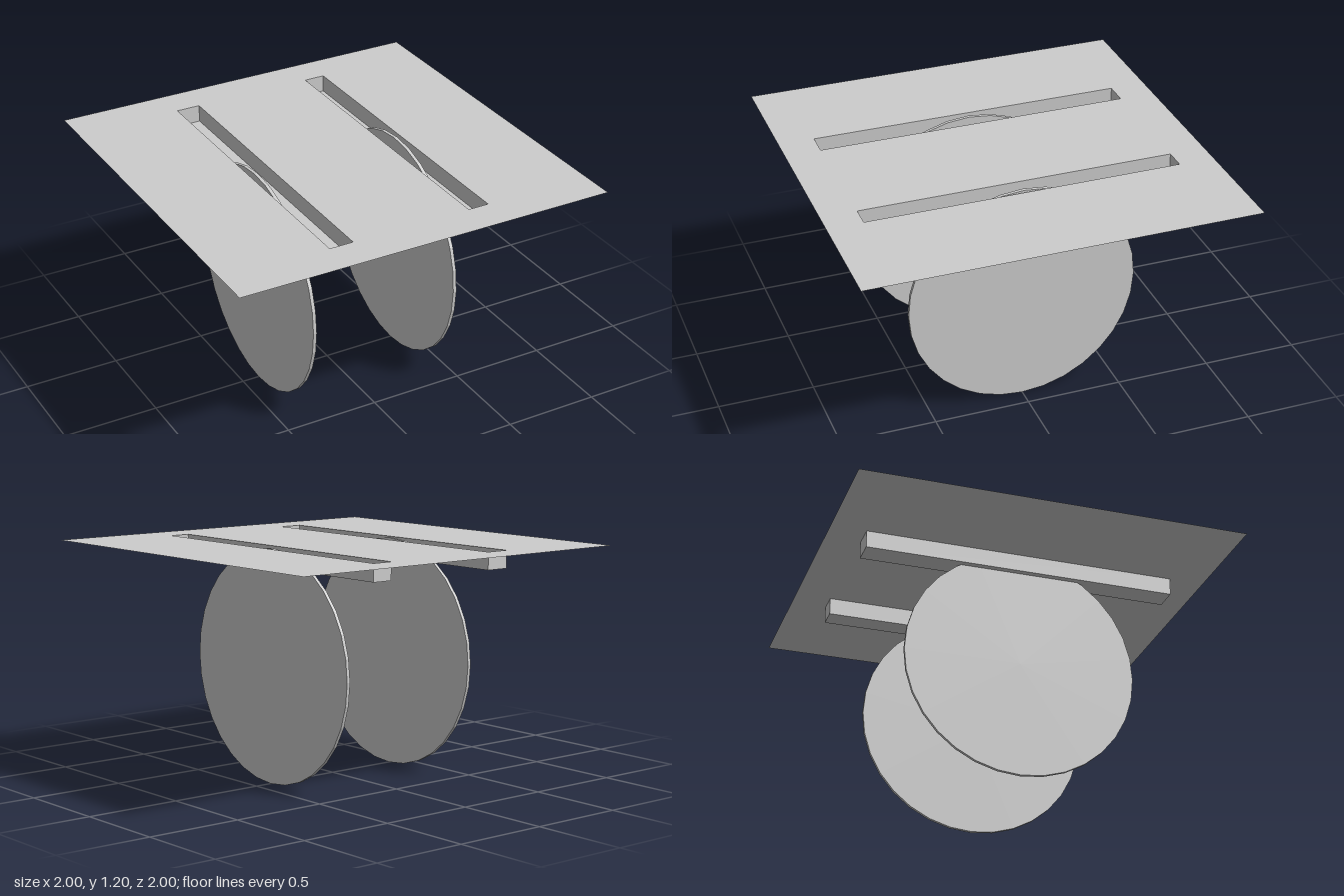
import * as THREE from 'three';

const TOP = 1.2, DEPTH = 0.09, HALF_SLOT = 0.815;
// Slot edges in x, and the centre of the disc standing in each slot
const SLOTS = [
  { side: 'right', x0: -0.44, x1: -0.315, disc: -0.4 },
  { side: 'left', x0: 0.32, x1: 0.43, disc: 0.4 },
];

function rectangle(Type, x0, x1, halfDepth) {
  return new Type([
    new THREE.Vector2(x0, -halfDepth), new THREE.Vector2(x1, -halfDepth),
    new THREE.Vector2(x1, halfDepth), new THREE.Vector2(x0, halfDepth),
  ]);
}

// Box without its top face
function openTray(width, height, depth) {
  const geometry = new THREE.BoxGeometry(width, height, depth);
  const index = Array.from(geometry.index.array);
  index.splice(12, 6);
  geometry.setIndex(index);
  geometry.clearGroups();
  return geometry;
}

export function createModel() {
  const group = new THREE.Group();
  const grey = new THREE.MeshStandardMaterial({ color: 0xcccccc, side: THREE.DoubleSide, flatShading: true });
  grey.name = 'light grey';

  const add = (name, geometry, x, y) => {
    const mesh = new THREE.Mesh(geometry, grey);
    mesh.name = name;
    mesh.position.set(x, y, 0);
    group.add(mesh);
  };

  // Thin top sheet with two slots
  const outline = rectangle(THREE.Shape, -1, 1, 1);
  for (const s of SLOTS) outline.holes.push(rectangle(THREE.Path, s.x0, s.x1, HALF_SLOT));
  add('topSheet', new THREE.ShapeGeometry(outline).rotateX(-Math.PI / 2), 0, TOP);

  for (const s of SLOTS) {
    // Recessed tray below each slot
    add(`${s.side}Tray`, openTray(s.x1 - s.x0, DEPTH, HALF_SLOT * 2), (s.x0 + s.x1) / 2, TOP - DEPTH / 2);
    // Thin disc reaching up through the tray floor
    add(`${s.side}Disc`, new THREE.CylinderGeometry(0.6, 0.6, 0.018, 32).rotateZ(Math.PI / 2), s.disc, 0.6);
  }
  return group;
}
